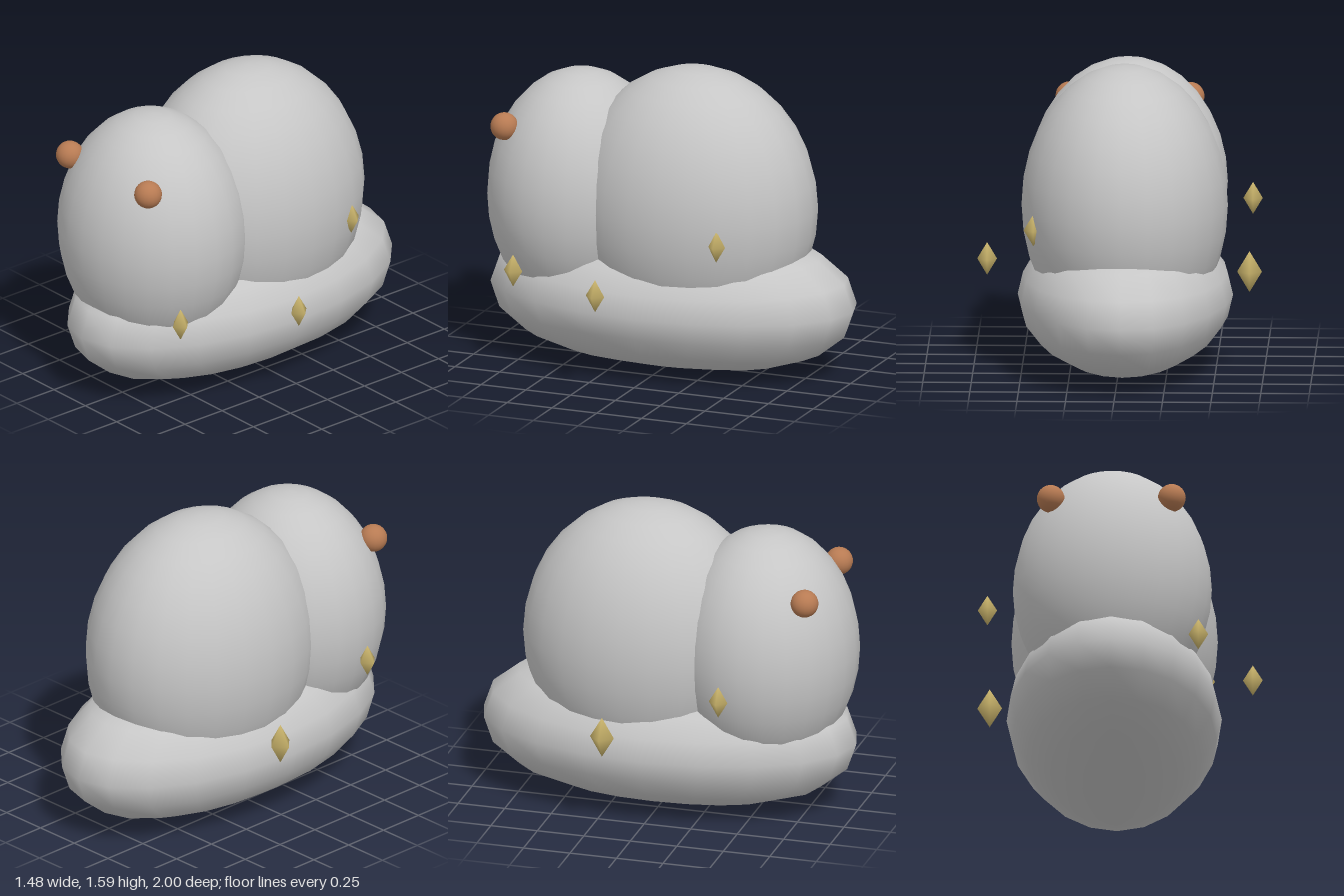
import * as THREE from 'three';
import { mergeVertices } from 'three/addons/utils/BufferGeometryUtils.js';

const material = (name, color) => {
  const m = new THREE.MeshStandardMaterial({ color });
  m.name = name;
  return m;
};

export function createModel() {
  const group = new THREE.Group();
  const grey = material('pale grey', 0xc6c6c6);
  const copper = material('copper', 0xb87b53);
  const gold = material('gold', 0xcbb56c);

  const add = (name, geometry, mat, position, scale) => {
    const mesh = new THREE.Mesh(geometry, mat);
    mesh.name = name;
    mesh.position.set(...position);
    mesh.scale.set(...scale);
    group.add(mesh);
    return mesh;
  };

  // Base: a flattened ellipsoid that stays a little fuller towards both ends
  let baseShape = new THREE.SphereGeometry(1, 20, 10);
  const p = baseShape.attributes.position;
  for (let i = 0; i < p.count; i++) {
    p.setY(i, p.getY(i) * (1 + 0.24 * p.getZ(i) ** 2));
  }
  baseShape.deleteAttribute('normal');
  baseShape.deleteAttribute('uv');
  baseShape = mergeVertices(baseShape);
  baseShape.computeVertexNormals();
  const midX = -0.03;
  add('base', baseShape, grey, [midX, 0.375, 0], [0.555, 0.372, 1]);

  // Two upright domes resting on the base
  const dome = new THREE.SphereGeometry(1, 24, 16);
  add('head', dome, grey, [midX, 0.87, 0.518], [0.513, 0.646, 0.48]);
  add('shell', dome, grey, [midX, 0.87, -0.122], [0.532, 0.727, 0.65]);

  // Eyes
  const ball = new THREE.SphereGeometry(0.072, 20, 14);
  for (const [name, side] of [['leftEye', 1], ['rightEye', -1]]) {
    add(name, ball, copper, [midX + side * 0.312, 1.257, 0.815], [1, 1, 1]);
  }

  // Diamond-shaped gems around the sides: x, y, z, half width
  const diamond = new THREE.SphereGeometry(1, 4, 2);
  const gems = [
    [-0.675, 0.53, -0.175, 0.064],
    [-0.675, 0.795, 0.45, 0.05],
    [0.687, 0.53, 0.14, 0.051],
    [0.417, 0.53, 0.71, 0.051],
    [0.432, 0.79, -0.43, 0.05],
  ];
  gems.forEach(([x, y, z, r], i) => {
    add(`gem${i + 1}`, diamond, gold, [x, y, z], [r, r * 1.68, r]);
  });

  return group;
}
